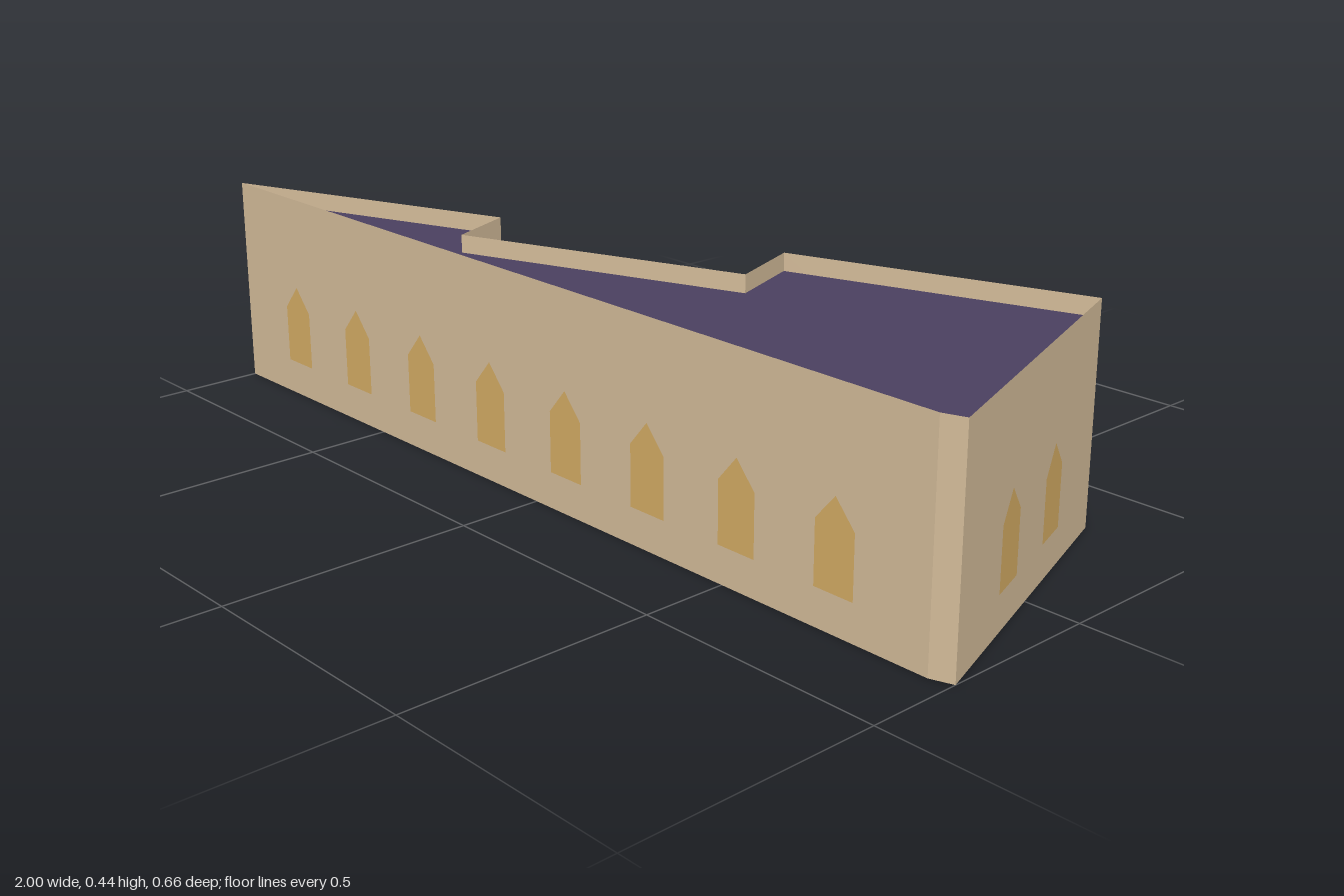
import * as THREE from 'three';

const HEIGHT = 0.436;   // wall top
const ROOF_Y = 0.4;     // flat roof sunk behind a parapet
const SPACING = 0.2225; // between window centres

// Footprint corners [x, z] with the number of windows on the wall that starts there
const PLAN = [
  [-1, 0.329, 2],
  [-0.386, 0.1, 0],
  [-0.33, 0.24, 2],
  [0.243, 0.026, 0],
  [0.187, -0.132, 2],
  [0.77, -0.33, 2],
  [1, 0.314, 0],
  [0.957, 0.329, 8],
];

function material(name, color, side = THREE.FrontSide) {
  const m = new THREE.MeshStandardMaterial({ color, side });
  m.name = name;
  return m;
}

export function createModel() {
  const model = new THREE.Group();
  model.name = 'building';
  const stone = material('sandstone', 0xd4bc9a, THREE.DoubleSide);
  const slate = material('purple slate', 0x4a4060, THREE.DoubleSide);
  const glass = material('amber glass', 0xd4ac64);

  // Pointed window outline, centred on x = 0
  const pane = new THREE.ShapeGeometry(new THREE.Shape([
    new THREE.Vector2(-0.043, 0.073),
    new THREE.Vector2(0.043, 0.073),
    new THREE.Vector2(0.043, 0.193),
    new THREE.Vector2(0, 0.243),
    new THREE.Vector2(-0.043, 0.193),
  ]));

  // Thin walls around the footprint, each with its row of windows
  PLAN.forEach(([x, z, windows], i) => {
    const [nx, nz] = PLAN[(i + 1) % PLAN.length];
    const dx = nx - x, dz = nz - z;
    const side = new THREE.Group();
    side.name = `side${i + 1}`;
    side.position.set((x + nx) / 2, 0, (z + nz) / 2);
    side.rotation.y = Math.atan2(dz, -dx);

    const wall = new THREE.Mesh(new THREE.PlaneGeometry(Math.hypot(dx, dz), HEIGHT), stone);
    wall.name = 'wall';
    wall.position.y = HEIGHT / 2;
    side.add(wall);

    for (let k = 0; k < windows; k++) {
      const win = new THREE.Mesh(pane, glass);
      win.name = 'window';
      win.position.set((k - (windows - 1) / 2) * SPACING, 0, 0.002);
      side.add(win);
    }
    model.add(side);
  });

  // Flat roof filling the footprint
  const outline = new THREE.Shape(PLAN.map(([x, z]) => new THREE.Vector2(x, -z)));
  const roof = new THREE.Mesh(new THREE.ShapeGeometry(outline), slate);
  roof.name = 'roof';
  roof.rotation.x = -Math.PI / 2;
  roof.position.y = ROOF_Y;
  model.add(roof);

  return model;
}
